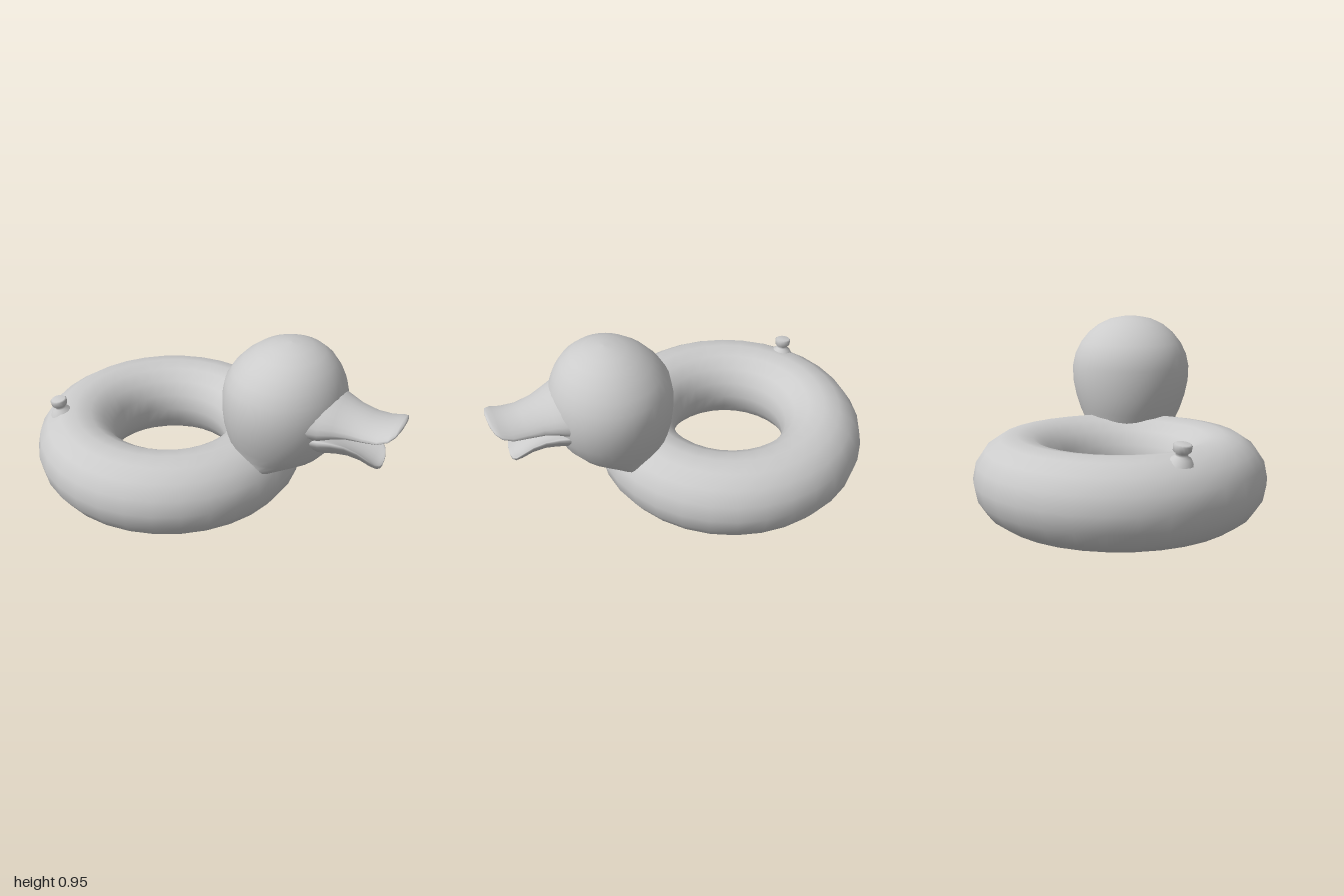
import * as THREE from 'three';

const material = new THREE.MeshStandardMaterial({ color: 0xcccccc, side: THREE.DoubleSide });

function addMesh(parent, name, geometry) {
  const mesh = new THREE.Mesh(geometry, material);
  mesh.name = name;
  parent.add(mesh);
  return mesh;
}

// Skin a smooth surface over cross-sections; point(section, angle) gives [x, y, z]
function loft(sections, sides, point) {
  const positions = [], index = [];
  sections.forEach((s, i) => {
    for (let j = 0; j < sides; j++) {
      positions.push(...point(s, (j / sides) * Math.PI * 2));
      if (i === sections.length - 1) continue;
      const a = i * sides + j, b = i * sides + ((j + 1) % sides);
      index.push(a, a + sides, b, b, a + sides, b + sides);
    }
  });
  const geometry = new THREE.BufferGeometry();
  geometry.setAttribute('position', new THREE.Float32BufferAttribute(positions, 3));
  geometry.setIndex(index);
  geometry.computeVertexNormals();
  return geometry;
}

// Bill section: [x, centre y, half width, half thickness, edge lift]
const billPoint = ([x, y, w, t, lift], a) => [
  x,
  y + t * Math.sin(a) + lift * Math.cos(a) ** 2,
  0.028 + w * Math.cos(a),
];

export function createModel() {
  const model = new THREE.Group();
  model.name = 'duckSwimRing';

  // Inflated ring
  const ring = new THREE.TorusGeometry(0.508, 0.213, 16, 32);
  ring.rotateX(Math.PI / 2);
  addMesh(model, 'ring', ring).position.set(-0.28, 0.215, 0);

  // Head and neck: [y, back x, front x, half depth]
  const headSections = [
    [0.22, 0.16, 0.38, 0.20],
    [0.30, 0.15, 0.44, 0.24],
    [0.335, 0.14, 0.52, 0.235],
    [0.38, 0.125, 0.60, 0.25],
    [0.44, 0.10, 0.65, 0.278],
    [0.52, 0.082, 0.68, 0.305],
    [0.60, 0.075, 0.695, 0.322],
    [0.68, 0.077, 0.695, 0.325],
    [0.75, 0.09, 0.68, 0.31],
    [0.81, 0.125, 0.655, 0.28],
    [0.865, 0.175, 0.62, 0.236],
    [0.91, 0.235, 0.57, 0.18],
    [0.94, 0.30, 0.51, 0.115],
    [0.953, 0.36, 0.45, 0.05],
    [0.956, 0.405, 0.405, 0],
  ];
  const head = addMesh(model, 'head', loft(headSections, 32, ([y, back, front, rz], a) => [
    (back + front) / 2 + ((front - back) / 2) * Math.cos(a), y, rz * Math.sin(a),
  ]));

  // Upper bill, sweeping up to its tip
  addMesh(head, 'upperBill', loft([
    [0.56, 0.66, 0.22, 0.12, -0.03],
    [0.64, 0.655, 0.20, 0.105, -0.03],
    [0.70, 0.655, 0.172, 0.08, -0.03],
    [0.76, 0.655, 0.148, 0.058, -0.035],
    [0.84, 0.652, 0.140, 0.038, -0.035],
    [0.91, 0.654, 0.143, 0.028, -0.03],
    [0.96, 0.665, 0.136, 0.023, -0.02],
    [0.985, 0.674, 0.11, 0.018, -0.012],
    [0.997, 0.678, 0.06, 0.011, -0.004],
    [1.0, 0.679, 0, 0, 0],
  ], 24, billPoint));

  // Lower bill, a scoop hanging open
  addMesh(head, 'lowerBill', loft([
    [0.56, 0.50, 0.19, 0.06, 0.06],
    [0.64, 0.495, 0.185, 0.055, 0.07],
    [0.70, 0.49, 0.168, 0.04, 0.078],
    [0.76, 0.479, 0.148, 0.028, 0.082],
    [0.82, 0.460, 0.130, 0.021, 0.078],
    [0.87, 0.434, 0.110, 0.018, 0.066],
    [0.90, 0.424, 0.085, 0.015, 0.042],
    [0.912, 0.425, 0.05, 0.01, 0.018],
    [0.916, 0.427, 0, 0, 0],
  ], 24, billPoint));

  // Air valve with a soft base and a flared plug
  const profile = [[0.06, -0.02], [0.045, 0.008], [0.028, 0.018], [0.028, 0.03],
    [0.041, 0.04], [0.043, 0.066], [0.036, 0.073], [0, 0.074]];
  const valve = addMesh(model, 'valve',
    new THREE.LatheGeometry(profile.map(([r, y]) => new THREE.Vector2(r, y)), 16));
  valve.position.set(-0.775, 0.413, 0.308);
  valve.rotation.set(0.1, 0, 0.1);

  return model;
}
